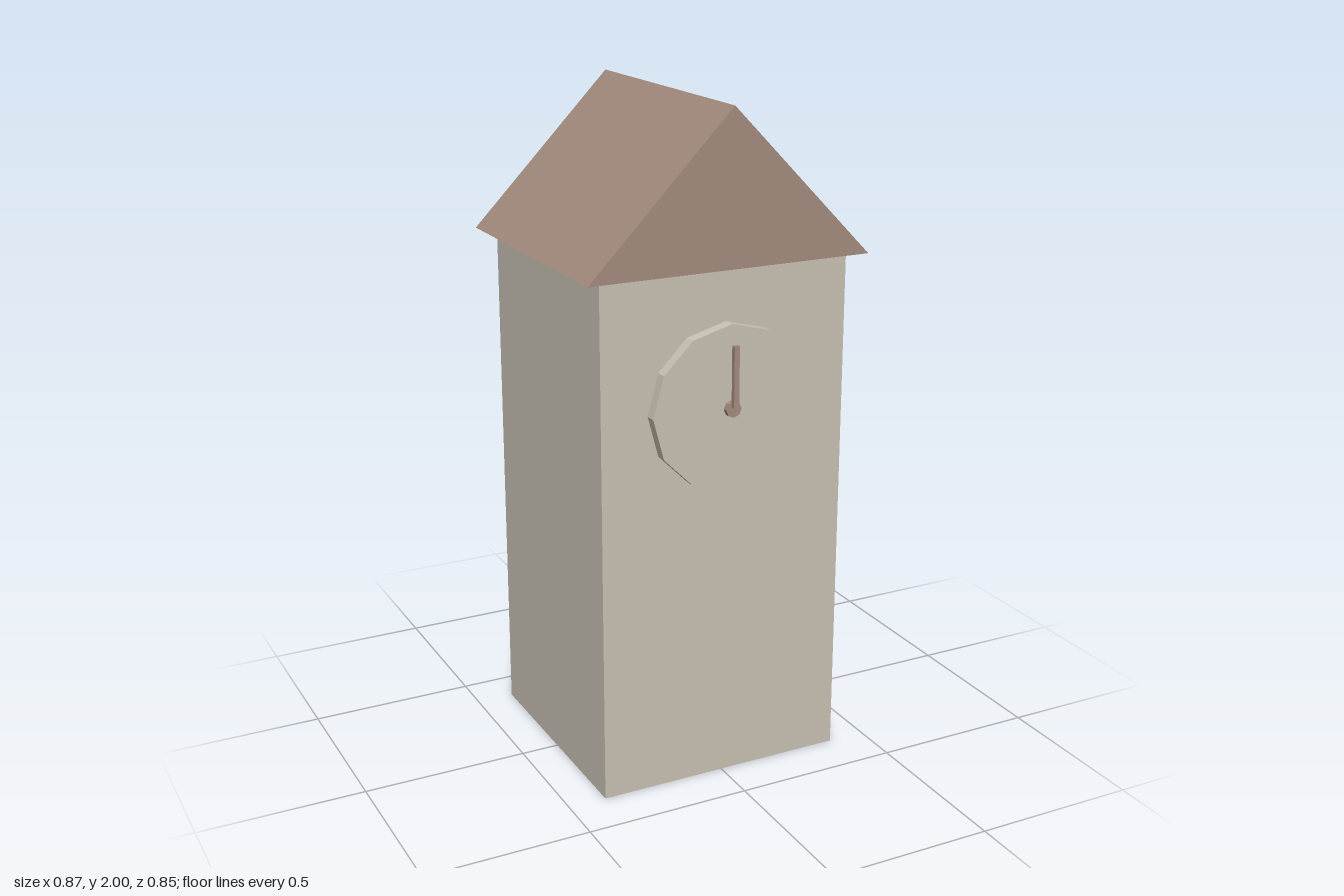
import * as THREE from 'three';

const stone = new THREE.MeshStandardMaterial({ color: 0xc9c2b5, flatShading: true });
stone.name = 'paleStone';
const tile = new THREE.MeshStandardMaterial({ color: 0xa58c7f, flatShading: true });
tile.name = 'brownTile';

export function createModel() {
  const group = new THREE.Group();
  group.name = 'clockTower';

  const add = (name, geometry, material, x, y, z) => {
    const mesh = new THREE.Mesh(geometry, material);
    mesh.name = name;
    mesh.position.set(x, y, z);
    group.add(mesh);
  };
  // Disc whose axis points to the front
  const disc = (radius, depth, sides) =>
    new THREE.CylinderGeometry(radius, radius, depth, sides).rotateX(Math.PI / 2);

  // Tower
  add('towerBody', new THREE.BoxGeometry(0.77, 1.555, 0.732), stone, 0, 0.7775, -0.011);

  // Gabled roof: triangular prism, overhanging on every side
  const gable = new THREE.Shape([
    new THREE.Vector2(-0.435, 0),
    new THREE.Vector2(0.435, 0),
    new THREE.Vector2(0, 0.445),
  ]);
  add('roof', new THREE.ExtrudeGeometry(gable, { depth: 0.816, bevelEnabled: false }),
    tile, 0, 1.555, -0.423);

  // Clock on the front wall
  add('clockFace', disc(0.243, 0.036, 12), stone, 0, 1.158, 0.373);
  add('clockHub', disc(0.024, 0.016, 8), tile, 0, 1.158, 0.399);
  add('clockHand', new THREE.BoxGeometry(0.016, 0.18, 0.015), tile, 0, 1.255, 0.4145);

  return group;
}
